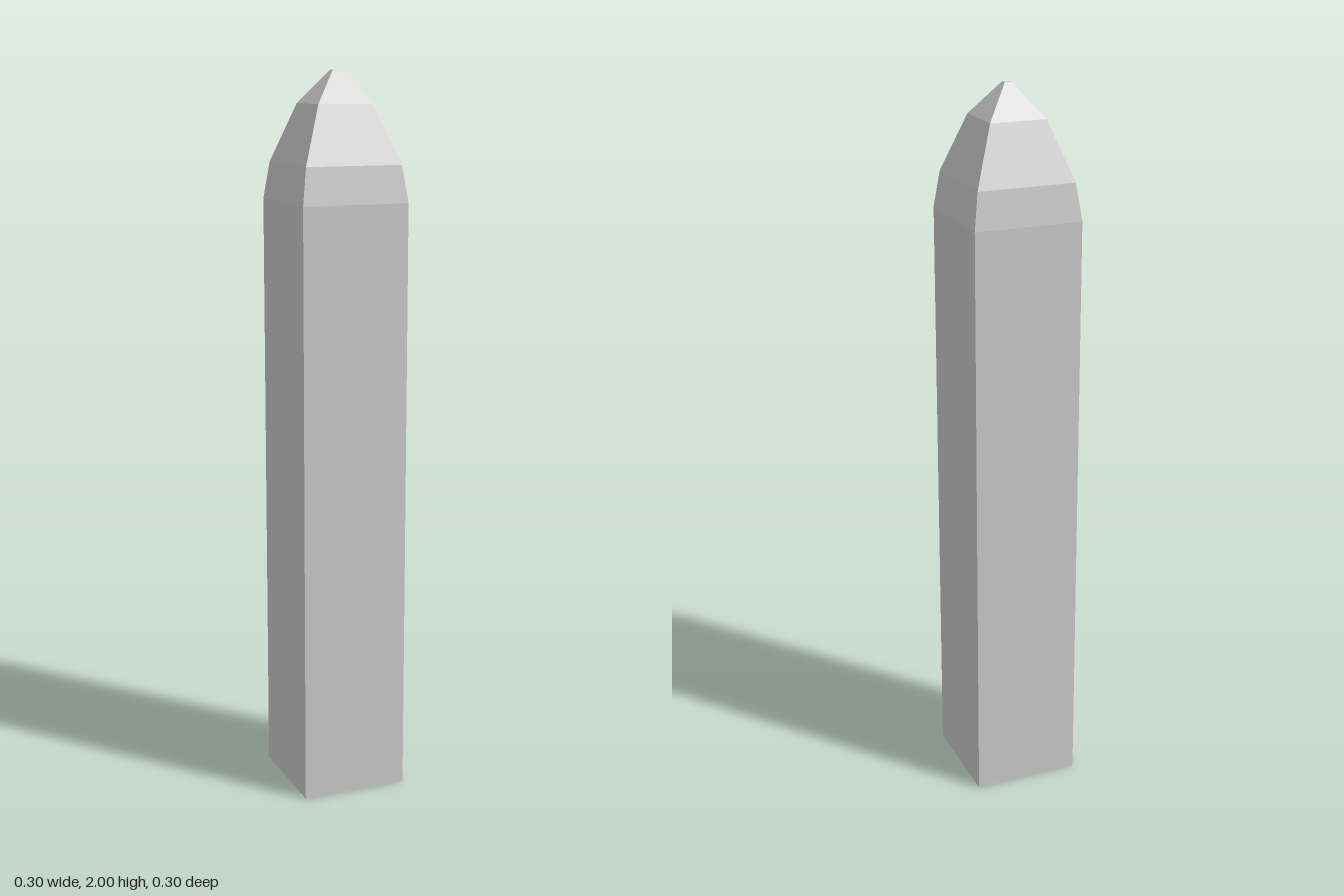
import * as THREE from 'three';

const material = new THREE.MeshStandardMaterial({ color: 0xcccccc, flatShading: true });

// Square-section solid from [halfWidth, height] pairs, listed bottom to top
function squareLathe(name, profile) {
  const points = profile.map(([half, y]) => new THREE.Vector2(half * Math.SQRT2, y));
  const mesh = new THREE.Mesh(new THREE.LatheGeometry(points, 4, Math.PI / 4), material);
  mesh.name = name;
  return mesh;
}

export function createModel() {
  const group = new THREE.Group();
  group.name = 'squarePost';

  // Straight shaft, closed underneath
  group.add(squareLathe('shaft', [[0, 0], [0.15, 0], [0.15, 1.655]]));

  // Faceted point that narrows in three steps to a tiny flat top
  group.add(squareLathe('pointedTip', [
    [0.15, 1.655], [0.136, 1.755], [0.078, 1.912], [0.009, 2], [0, 2],
  ]));

  return group;
}
